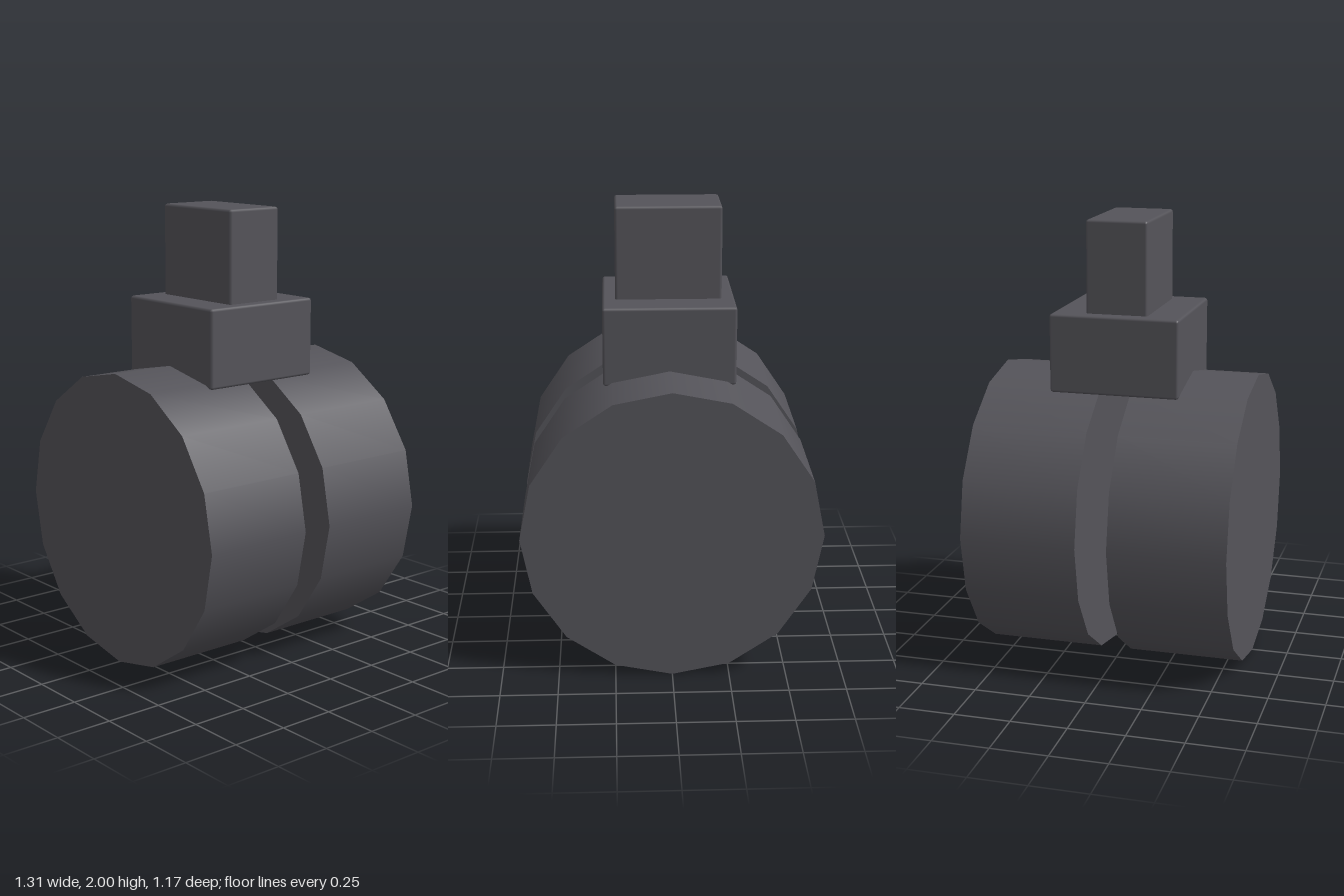
import * as THREE from 'three';
import { RoundedBoxGeometry } from 'three/addons/geometries/RoundedBoxGeometry.js';

export function createModel() {
  const group = new THREE.Group();
  const darkGrey = new THREE.MeshStandardMaterial({ color: 0x55545a });
  darkGrey.name = 'darkGrey';

  const add = (name, geometry, y, z = 0) => {
    const mesh = new THREE.Mesh(geometry, darkGrey);
    mesh.name = name;
    mesh.position.set(0, y, z);
    group.add(mesh);
  };

  // Twin wheels: closed sixteen-sided drums with an open gap between them
  const radius = 0.655, inner = 0.07, outer = 0.587;
  for (const side of [1, -1]) {
    const wheel = new THREE.CylinderGeometry(radius, radius, outer - inner, 16).rotateX(Math.PI / 2);
    add(side > 0 ? 'frontWheel' : 'backWheel', wheel, radius, side * (inner + outer) / 2);
  }

  // Bevelled mounting block and the narrower stem on top of it
  const block = (name, width, depth, bottom, top) =>
    add(name, new RoundedBoxGeometry(width, top - bottom, depth, 1, 0.012), (bottom + top) / 2);
  block('mountingBlock', 0.58, 0.58, 1.243, 1.592);
  block('stem', 0.465, 0.276, 1.57, 2);

  return group;
}
